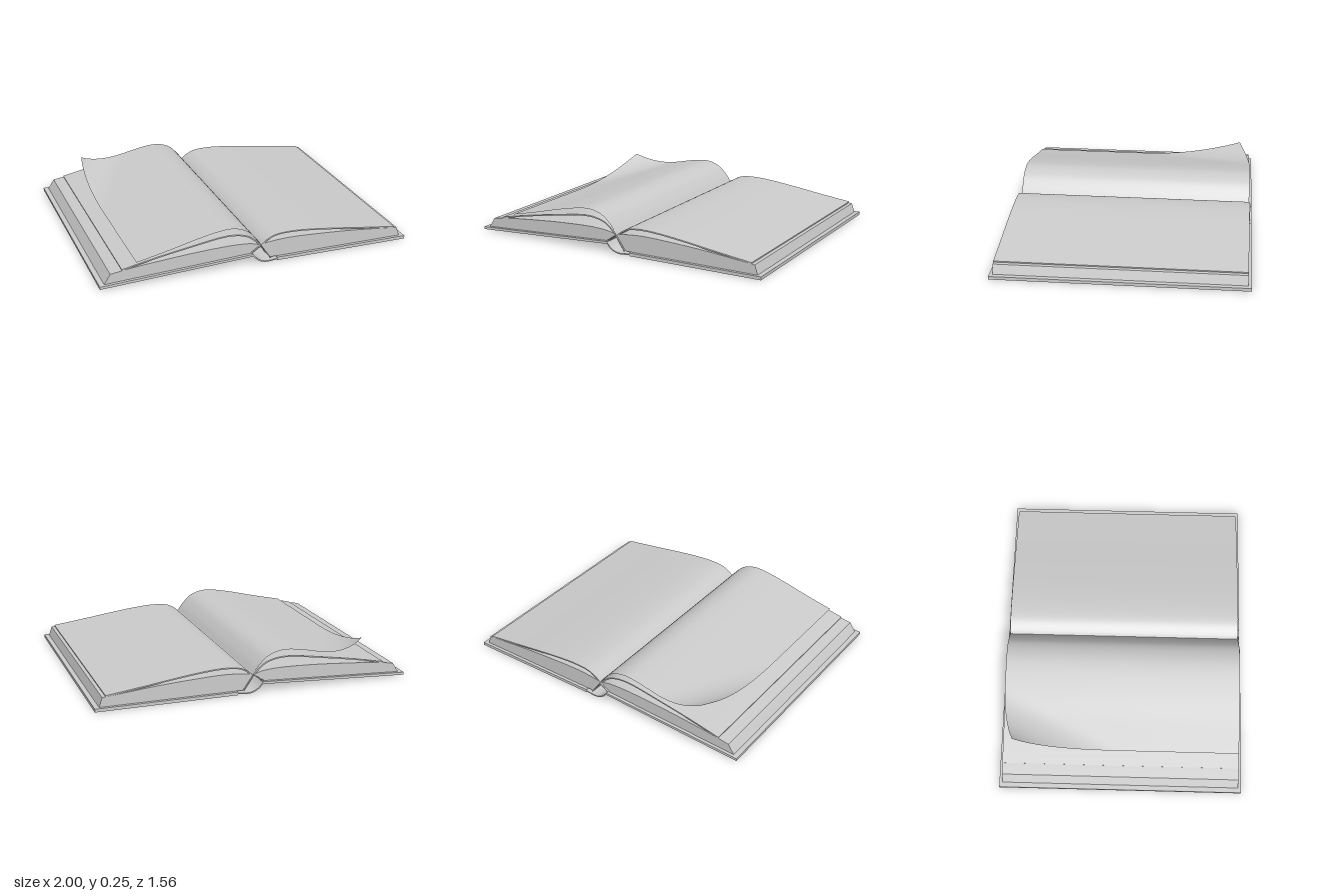
import * as THREE from 'three';
import { toCreasedNormals } from 'three/addons/utils/BufferGeometryUtils.js';

const material = new THREE.MeshStandardMaterial({ color: 0xcccccc, side: THREE.DoubleSide });

const toVectors = (points) => points.map(([x, y]) => new THREE.Vector2(x, y));
const smooth = (points, n = 36) => new THREE.SplineCurve(toVectors(points)).getPoints(n);

// Extrudes an outline in the xy plane from -halfDepth to +halfDepth
function extrude(name, outline, halfDepth) {
  const geometry = new THREE.ExtrudeGeometry(new THREE.Shape(outline), {
    depth: halfDepth * 2, bevelEnabled: false, curveSegments: 1,
  });
  geometry.translate(0, 0, -halfDepth);
  const mesh = new THREE.Mesh(toCreasedNormals(geometry, 0.6), material);
  mesh.name = name;
  return mesh;
}

// Thickens a curve into a thin sheet
function sheet(name, line, thickness, halfDepth) {
  const offset = line.map((p, i) => {
    const a = line[Math.max(i - 1, 0)];
    const b = line[Math.min(i + 1, line.length - 1)];
    const normal = new THREE.Vector2(a.y - b.y, b.x - a.x).normalize();
    if (normal.y > 0) normal.negate();
    return p.clone().addScaledVector(normal, thickness);
  });
  return extrude(name, [...line, ...offset.reverse()], halfDepth);
}

// Loose leaf whose back outer corner curls up
function curledLeaf() {
  const profile = new THREE.SplineCurve(toVectors([
    [0.02, 0.11], [-0.02, 0.165], [-0.08, 0.22], [-0.16, 0.247], [-0.25, 0.245],
    [-0.4, 0.216], [-0.58, 0.172], [-0.77, 0.13],
  ]));
  const geometry = new THREE.PlaneGeometry(1, 1.52, 56, 48);
  const position = geometry.attributes.position;
  for (let i = 0; i < position.count; i++) {
    const p = profile.getPoint(position.getX(i) + 0.5);
    const z = position.getY(i);
    const s = Math.max(0, (-p.x - 0.4) / 0.37 - z / 0.76 - 1);
    position.setXYZ(i, p.x + 0.03 * s ** 4, p.y + 0.12 * s ** 2, z + 0.07 * s ** 2);
  }
  geometry.computeVertexNormals();
  const mesh = new THREE.Mesh(geometry, material);
  mesh.name = 'curledLeaf';
  return mesh;
}

export function createModel() {
  const book = new THREE.Group();
  book.name = 'openBook';

  // Covers: the left one is tilted up towards the spine
  book.add(extrude('leftCover', toVectors([
    [-1, 0.003], [-0.04, 0.052], [-0.04, 0.067], [-1, 0.02],
  ]), 0.78));
  book.add(extrude('rightCover', toVectors([
    [0.12, 0], [1, 0], [1, 0.02], [0.12, 0.02],
  ]), 0.78));

  // Spine and its lining
  book.add(sheet('spine', smooth([
    [-0.04, 0.064], [-0.015, 0.035], [0.02, 0.014], [0.06, 0.008], [0.12, 0.014],
  ]), 0.007, 0.78));
  book.add(sheet('spineLining', toVectors([
    [-0.05, 0.072], [0.015, 0.115], [0.04, 0.08], [0.08, 0.022],
  ]), 0.006, 0.77));

  // Page blocks
  book.add(extrude('leftPageBlock', [
    ...smooth([
      [-0.93, 0.082], [-0.8, 0.1], [-0.6, 0.118], [-0.4, 0.132], [-0.2, 0.139],
      [-0.08, 0.135], [-0.02, 0.124], [0.015, 0.11],
    ]),
    ...toVectors([[-0.04, 0.067], [-0.97, 0.02]]),
  ], 0.76));
  book.add(extrude('rightPageBlock', [
    ...smooth([
      [0.02, 0.11], [0.06, 0.122], [0.2, 0.132], [0.4, 0.125], [0.65, 0.108], [0.95, 0.078],
    ]),
    ...toVectors([[0.97, 0.02], [0.075, 0.02]]),
  ], 0.76));

  // Raised pages arching over the blocks
  book.add(sheet('leftPage', smooth([
    [0.02, 0.112], [-0.015, 0.145], [-0.07, 0.185], [-0.15, 0.206], [-0.25, 0.205],
    [-0.42, 0.18], [-0.65, 0.142], [-0.86, 0.1],
  ]), 0.008, 0.76));
  book.add(sheet('rightPage', smooth([
    [0.02, 0.112], [0.05, 0.138], [0.11, 0.165], [0.2, 0.173], [0.32, 0.167],
    [0.5, 0.146], [0.7, 0.118], [0.93, 0.088],
  ]), 0.008, 0.76));
  book.add(curledLeaf());

  return book;
}
